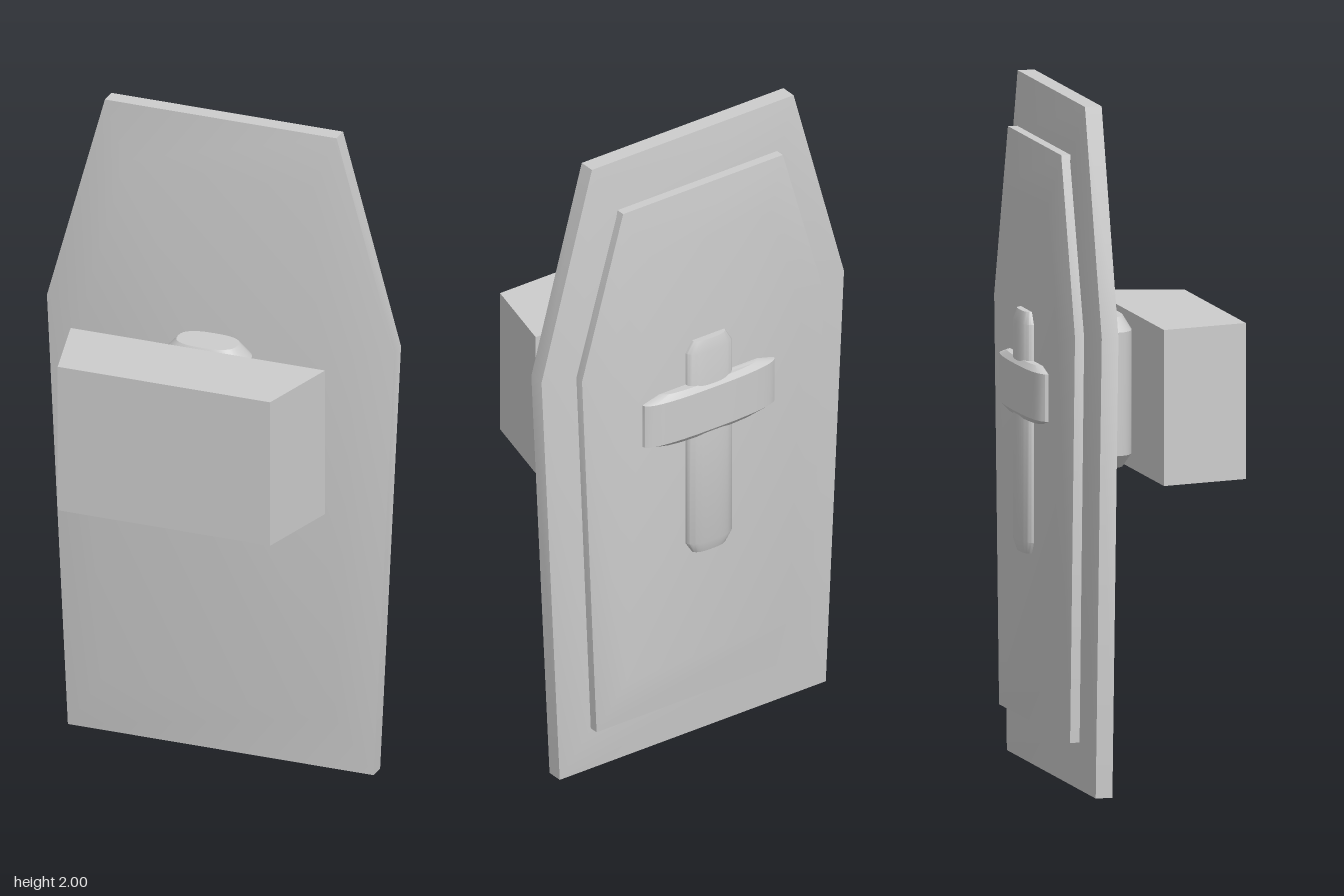
import * as THREE from 'three';
import { toCreasedNormals } from 'three/addons/utils/BufferGeometryUtils.js';

const stone = new THREE.MeshStandardMaterial({ color: 0xcccccc });
stone.name = 'plain grey';

// Skin a stack of rings (counter-clockwise seen from the end) and cap both ends
function loft(name, rings) {
  const n = rings[0].length;
  const pos = rings.flat(2);
  const index = [];
  for (let r = 0; r < rings.length - 1; r++) {
    for (let j = 0; j < n; j++) {
      const k = (j + 1) % n;
      const a = r * n + j, b = r * n + k, c = b + n, d = a + n;
      index.push(a, b, c, a, c, d);
    }
  }
  const last = (rings.length - 1) * n;
  for (let j = 1; j < n - 1; j++) {
    index.push(0, j + 1, j, last, last + j, last + j + 1);
  }
  const geo = new THREE.BufferGeometry();
  geo.setAttribute('position', new THREE.Float32BufferAttribute(pos, 3));
  geo.setIndex(index);
  const mesh = new THREE.Mesh(toCreasedNormals(geo, 0.6), stone);
  mesh.name = name;
  return mesh;
}

// Six-sided coffin outline at depth z
const outline = (z, top, topW, midY, midW, bottom, bottomW) => [
  [bottomW, bottom, z], [midW, midY, z], [topW, top, z],
  [-topW, top, z], [-midW, midY, z], [-bottomW, bottom, z],
];

// Upright rounded bar with chamfered ends
function roundedBar(name, halfW, halfD, y0, y1, chamfer, z, inset) {
  const ring = (y, s) => Array.from({ length: 32 }, (_, i) => {
    const t = (i / 32) * Math.PI * 2, c = Math.cos(t), q = Math.sin(t);
    const p = 0.76;
    const x = Math.sign(c) * Math.abs(c) ** p * (halfW - s);
    const d = Math.sign(q) * Math.abs(q) ** p * (halfD - Math.min(s, halfD * 0.3));
    return [x, y, z - d];
  });
  return loft(name, [ring(y0, inset), ring(y0 + chamfer, 0), ring(y1 - chamfer, 0), ring(y1, inset)]);
}

export function createModel() {
  const model = new THREE.Group();
  model.name = 'coffinShield';

  // Main board, gently bevelled on both faces
  model.add(loft('board', [
    outline(-0.215, 1.83, 0.29, 1.34, 0.42, 0.17, 0.365),
    outline(-0.19, 2, 0.36, 1.35, 0.54, 0, 0.475),
    outline(-0.14, 2, 0.36, 1.35, 0.54, 0, 0.475),
    outline(-0.117, 1.83, 0.29, 1.34, 0.42, 0.17, 0.365),
  ]));

  // Raised panel on the back
  model.add(loft('backPanel', [
    outline(-0.264, 1.69, 0.225, 1.32, 0.335, 0.3, 0.29),
    outline(-0.24, 1.85, 0.285, 1.34, 0.432, 0.15, 0.38),
    outline(-0.2, 1.85, 0.285, 1.34, 0.432, 0.15, 0.38),
  ]));

  // Cross
  model.add(roundedBar('crossUpright', 0.08, 0.033, 0.655, 1.36, 0.035, -0.262, 0.022));
  model.add(roundedBar('crossArm', 0.235, 0.04, 1.05, 1.22, 0.016, -0.262, 0.06));

  // Grip joining the board and the front block
  model.add(roundedBar('grip', 0.13, 0.077, 0.9, 1.34, 0.04, -0.04, 0.037));

  // Front block, narrower towards the front
  const slab = (y) => [[0.33, y, 0.3], [0.395, y, 0.037], [-0.395, y, 0.037], [-0.33, y, 0.3]];
  model.add(loft('frontBlock', [slab(0.89), slab(1.345)]));

  return model;
}
